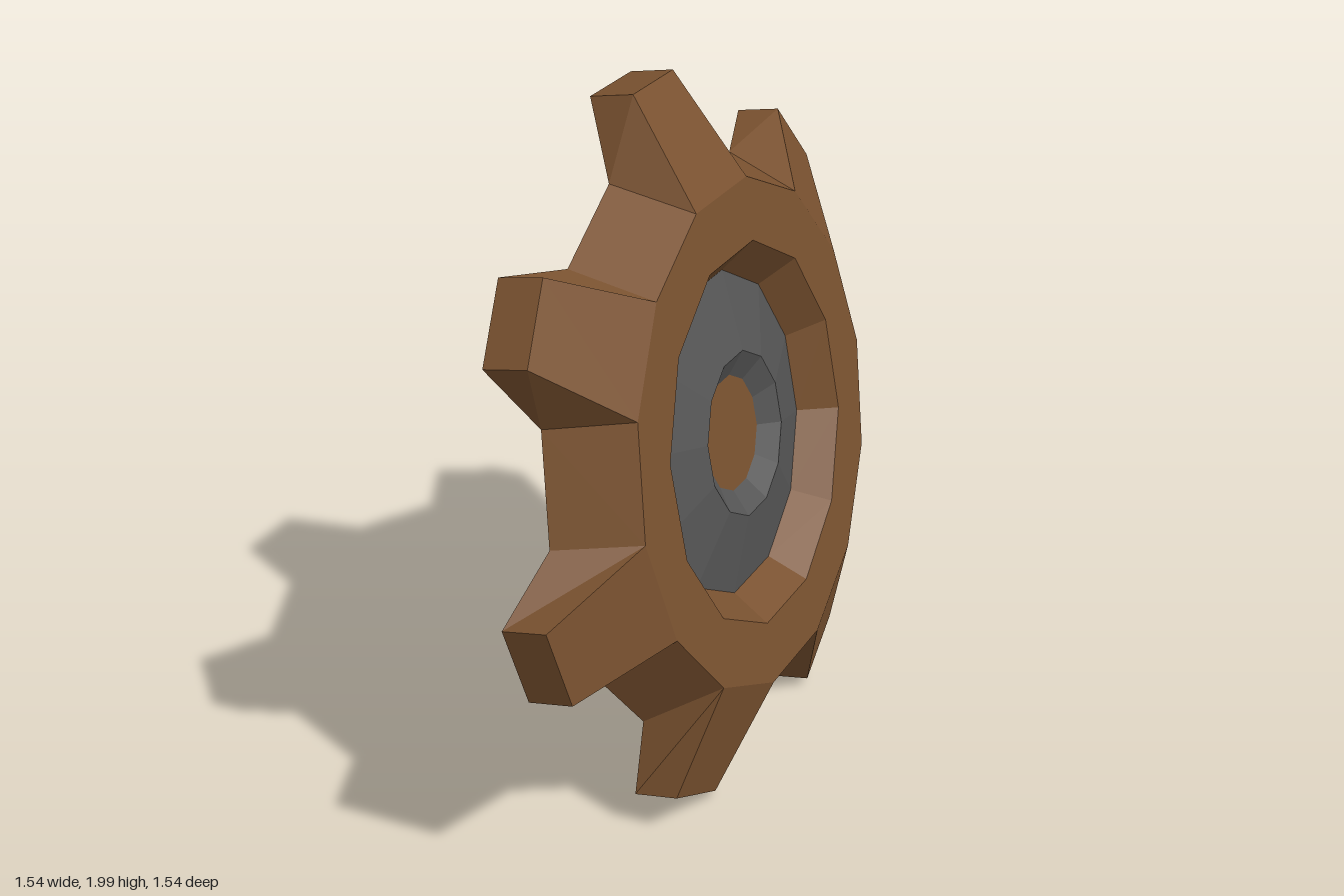
import * as THREE from 'three';

const TEETH = 7, STEP = (Math.PI * 2) / TEETH;
const BACK = -0.215; // depth of the back plane; the front plane is at z = 0
const brown = new THREE.MeshStandardMaterial({ color: 0x7a5230, flatShading: true });
const grey = new THREE.MeshStandardMaterial({ color: 0x555555, flatShading: true });

// Point at clockwise angle a from the top, radius r, depth z
const polar = (a, r, z) => [r * Math.sin(a), r * Math.cos(a), z];

// Front and back corner of the rim on one side (-1 or 1) of the tooth at angle a
const frontCorner = (a, side) => polar(a + side * 0.2244, 0.72, 0);
const backCorner = (a, side) => polar(a + side * 0.2595, 0.835, BACK);

function quadMesh(name, quads) {
  const pos = [];
  for (const [a, b, c, d] of quads) pos.push(...a, ...b, ...c, ...a, ...c, ...d);
  const geo = new THREE.BufferGeometry();
  geo.setAttribute('position', new THREE.Float32BufferAttribute(pos, 3));
  geo.computeVertexNormals();
  return named(name, geo, brown);
}

function named(name, geo, material) {
  const mesh = new THREE.Mesh(geo, material);
  mesh.name = name;
  return mesh;
}

// Twelve-sided turned part around the z axis, profile as [radius, depth]
function turned(name, profile, material) {
  const geo = new THREE.LatheGeometry(profile.map(p => new THREE.Vector2(...p)), 12, Math.PI / 12);
  geo.rotateX(Math.PI / 2);
  return named(name, geo, material);
}

// Flat 14-sided ring with a 12-sided hole
function ringFace(name, corner, holeRadius, z, flip) {
  const outline = [], hole = [];
  for (let i = 0; i < TEETH; i++)
    for (const side of [-1, 1]) outline.push(new THREE.Vector2(...corner(i * STEP, side)));
  for (let i = 0; i < 12; i++)
    hole.push(new THREE.Vector2(...polar(((i + 0.5) * Math.PI) / 6, holeRadius, 0)));
  const shape = new THREE.Shape(outline);
  shape.holes.push(new THREE.Path(hole));
  const geo = new THREE.ShapeGeometry(shape);
  if (flip) geo.rotateY(Math.PI); // outline is mirror symmetric
  geo.translate(0, 0, z);
  return named(name, geo, brown);
}

// Tapered tooth lofted from the rim to a narrower, swept-back tip
function tooth(a) {
  const base = [frontCorner(a, -1), frontCorner(a, 1), backCorner(a, 1), backCorner(a, -1)];
  const tip = [[-1, -0.15], [1, -0.15], [1, -0.28], [-1, -0.28]]
    .map(([side, z]) => polar(a + side * 0.117, 1.028, z));
  const quads = base.map((p, i) => {
    const j = (i + 1) % 4;
    return [p, base[j], tip[j], tip[i]];
  });
  quads.push(tip);
  return quadMesh('tooth', quads);
}

export function createModel() {
  const gear = new THREE.Group();
  gear.name = 'gear';

  // Body faces and the waisted bore
  gear.add(ringFace('frontFace', frontCorner, 0.542, 0, false));
  gear.add(ringFace('backFace', backCorner, 0.576, BACK, true));
  gear.add(turned('bore', [[0.542, 0], [0.46, -0.1], [0.576, BACK]], brown));

  // Teeth and the sloped rim between them
  const rim = [];
  for (let i = 0; i < TEETH; i++) {
    const a = i * STEP, b = a + STEP;
    gear.add(tooth(a));
    rim.push([frontCorner(a, 1), frontCorner(b, -1), backCorner(b, -1), backCorner(a, 1)]);
  }
  gear.add(quadMesh('rim', rim));

  // Raised hub plate with a recessed centre
  gear.add(turned('hubPlate', [[0.46, -0.1], [0.235, -0.045], [0.165, -0.09]], grey));
  gear.add(turned('hubCentre', [[0.165, -0.09], [0, -0.09]], brown));
  gear.add(turned('hubBack', [[0, -0.1], [0.46, -0.1]], grey));

  // Turned 45 degrees and leaning back
  gear.rotation.set(-Math.PI / 18, Math.PI / 4, 0, 'YXZ');
  gear.position.set(0.135, 1.015, 0.135);

  const model = new THREE.Group();
  model.name = 'model';
  model.add(gear);
  return model;
}
